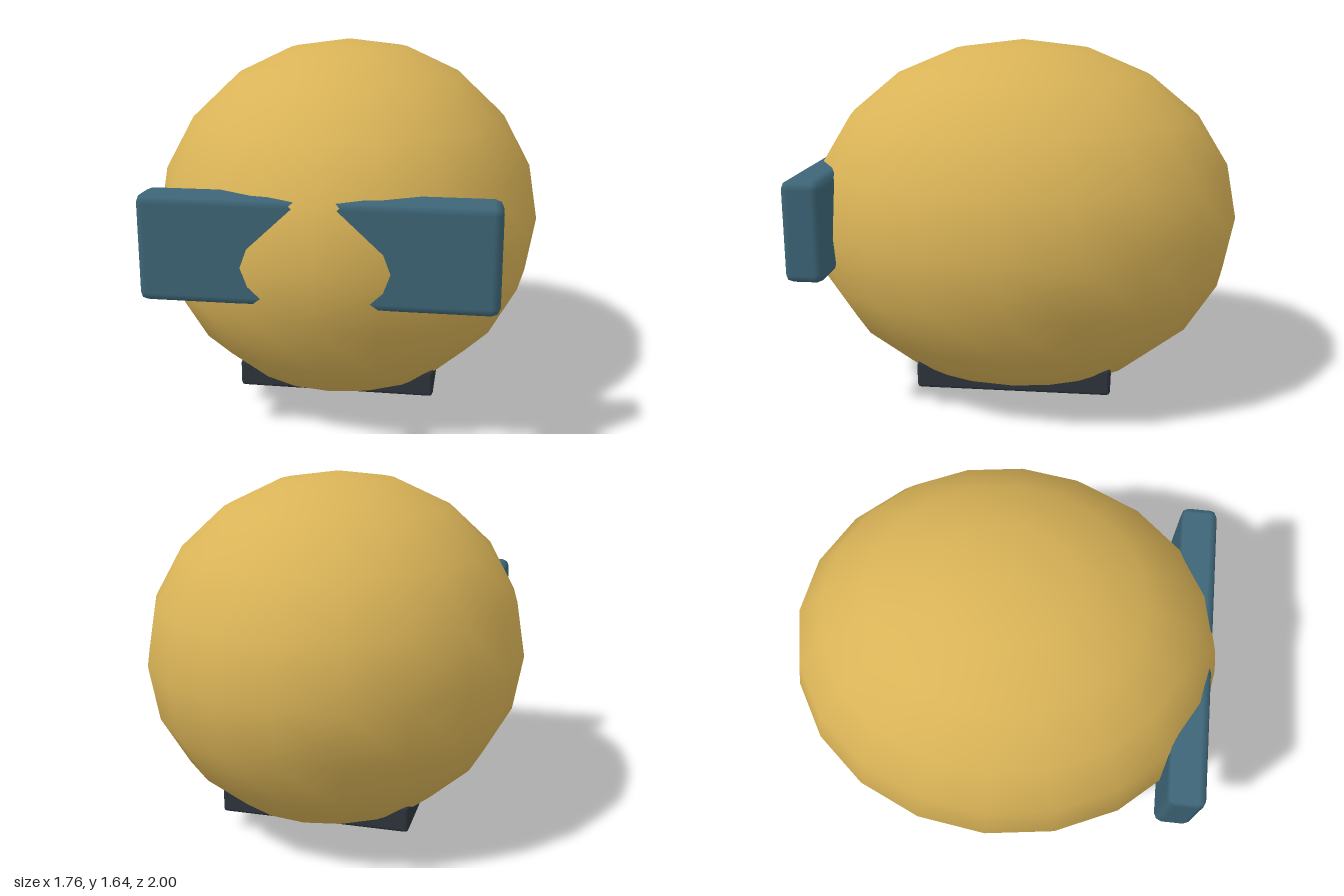
import * as THREE from 'three';
import { RoundedBoxGeometry } from 'three/addons/geometries/RoundedBoxGeometry.js';

function material(name, color) {
  const m = new THREE.MeshStandardMaterial({ color });
  m.name = name;
  return m;
}

export function createModel() {
  const group = new THREE.Group();
  group.name = 'helmet';
  const gold = material('gold', 0xd9b357);
  const blue = material('slateBlue', 0x3d6577);
  const dark = material('charcoal', 0x2e343c);

  const add = (name, geometry, mat, x, y, z) => {
    const mesh = new THREE.Mesh(geometry, mat);
    mesh.name = name;
    mesh.position.set(x, y, z);
    group.add(mesh);
  };

  // Ellipsoid shell, longest front to back
  const shell = new THREE.SphereGeometry(1, 20, 10);
  shell.scale(0.88, 0.82, 1);
  add('shell', shell, gold, 0, 0.824, 0);

  // Bevelled visor bar, pierced by the shell's front
  add('visor', new RoundedBoxGeometry(1.435, 0.44, 0.17, 1, 0.036), blue, 0, 0.884, 0.852);

  // Square neck plate, pierced by the shell's underside
  add('neckPlate', new RoundedBoxGeometry(0.88, 0.125, 0.88, 1, 0.017), dark, 0, 0.154, 0);

  return group;
}
